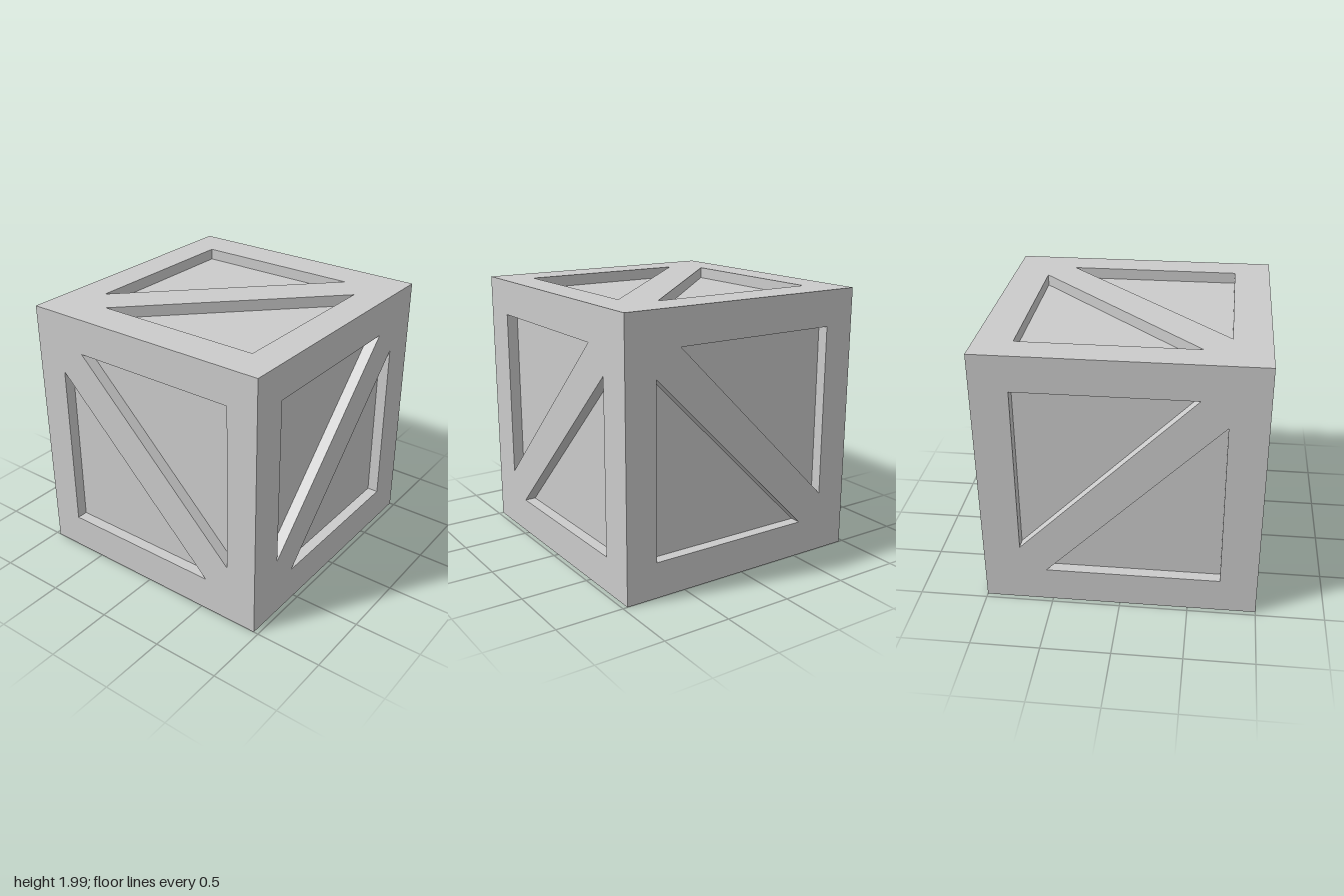
import * as THREE from 'three';

const W = 1.93, H = 1.985, D = 2;   // crate size in x, y, z
const EDGE = 0.73, TIP = 0.54;      // border and brace limits of the recesses
const DEPTH = 0.083;                // recess depth

const material = new THREE.MeshStandardMaterial({ color: 0xcccccc, flatShading: true });

// The two triangular recesses of a face, counter-clockwise.
// rising = the brace runs from bottom left to top right.
function recesses(rising) {
  const upper = [[EDGE, EDGE], [-TIP, EDGE], [EDGE, -TIP]];
  const lower = upper.map(([u, v]) => [-u, -v]);
  return [upper, lower].map((tri) => {
    const pts = tri.map(([u, v]) => new THREE.Vector2(rising ? -u : u, v));
    return rising ? pts.reverse() : pts;
  });
}

// Inward-facing walls of one recess
function wallGeometry(tri) {
  const pos = [];
  tri.forEach((p, i) => {
    const q = tri[(i + 1) % tri.length];
    pos.push(p.x, p.y, 0, q.x, q.y, 0, q.x, q.y, -DEPTH);
    pos.push(p.x, p.y, 0, q.x, q.y, -DEPTH, p.x, p.y, -DEPTH);
  });
  const geo = new THREE.BufferGeometry();
  geo.setAttribute('position', new THREE.Float32BufferAttribute(pos, 3));
  geo.computeVertexNormals();
  return geo;
}

function addMesh(parent, name, geometry) {
  const mesh = new THREE.Mesh(geometry, material);
  mesh.name = name;
  parent.add(mesh);
  return mesh;
}

// One crate side: border frame with diagonal brace, and two sunken panels
function createSide(name, w, h, rising) {
  const side = new THREE.Group();
  side.name = name;
  const frame = new THREE.Shape([
    new THREE.Vector2(-w / 2, -h / 2), new THREE.Vector2(w / 2, -h / 2),
    new THREE.Vector2(w / 2, h / 2), new THREE.Vector2(-w / 2, h / 2),
  ]);
  for (const tri of recesses(rising)) {
    frame.holes.push(new THREE.Path([...tri].reverse()));
    addMesh(side, 'recessWalls', wallGeometry(tri));
    addMesh(side, 'panel', new THREE.ShapeGeometry(new THREE.Shape(tri))).position.z = -DEPTH;
  }
  addMesh(side, 'frameAndBrace', new THREE.ShapeGeometry(frame));
  return side;
}

export function createModel() {
  const crate = new THREE.Group();
  crate.name = 'crate';
  const q = Math.PI / 2;
  // name, width, height, distance from centre, x turn, y turn, rising brace
  const sides = [
    ['frontSide', W, H, D / 2, 0, 0, false],
    ['backSide', W, H, D / 2, 0, 2 * q, false],
    ['leftSide', D, H, W / 2, 0, q, true],
    ['rightSide', D, H, W / 2, 0, -q, true],
    ['topSide', W, D, H / 2, -q, 0, true],
    ['bottomSide', W, D, H / 2, q, 0, false],
  ];
  for (const [name, w, h, distance, rx, ry, rising] of sides) {
    const side = createSide(name, w, h, rising);
    side.rotation.set(rx, ry, 0);
    side.translateZ(distance);
    side.position.y += H / 2;
    crate.add(side);
  }
  return crate;
}
